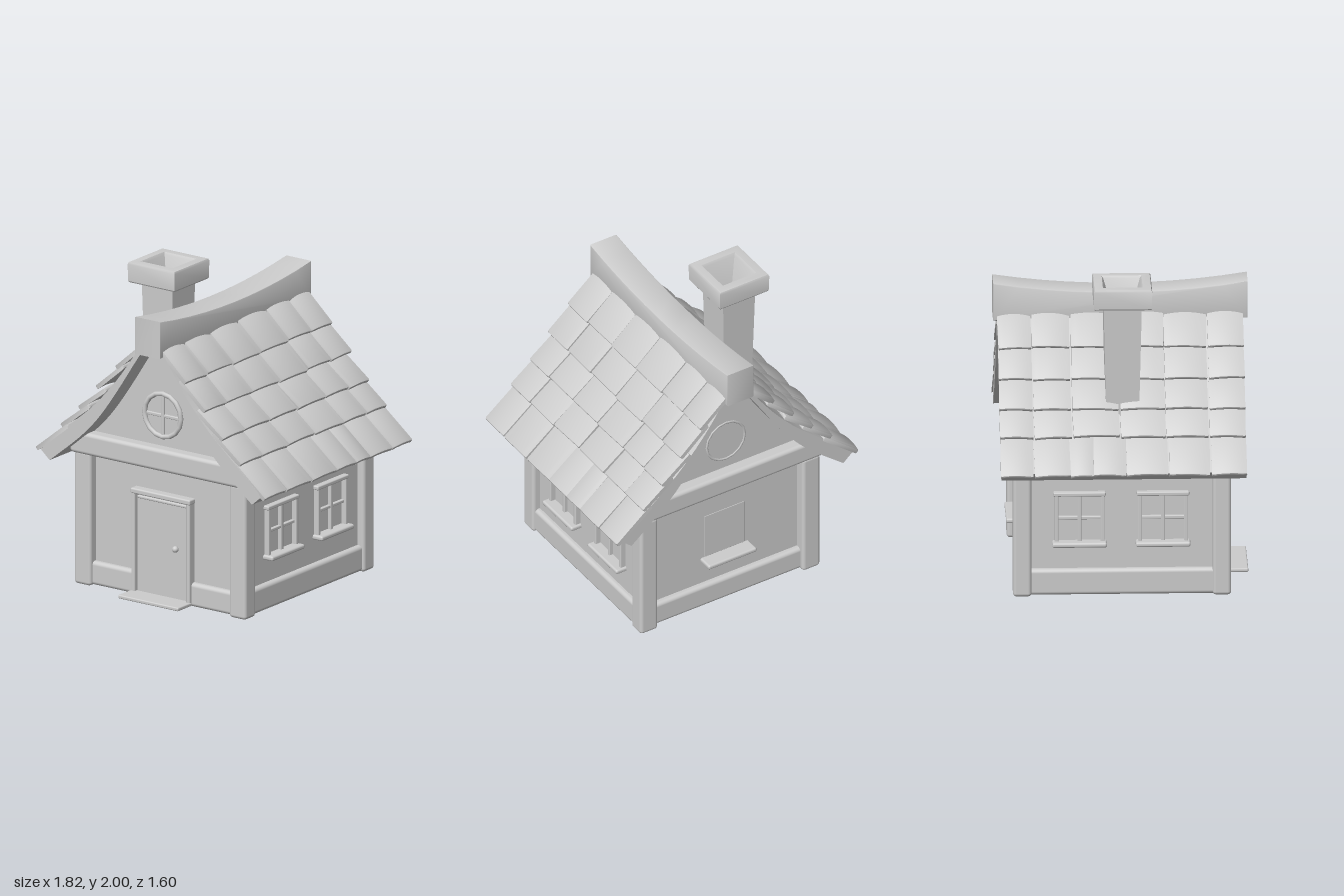
import * as THREE from 'three';
import { toCreasedNormals } from 'three/addons/utils/BufferGeometryUtils.js';
import { RoundedBoxGeometry } from 'three/addons/geometries/RoundedBoxGeometry.js';

export function createModel() {
  const house = new THREE.Group();
  house.name = 'cottage';
  const clay = new THREE.MeshStandardMaterial({ color: 0xcccccc });
  clay.name = 'pale grey clay';

  const add = (name, geometry, parent = house) => {
    const mesh = new THREE.Mesh(geometry, clay);
    mesh.name = name;
    parent.add(mesh);
    return mesh;
  };
  // Rounded block given by its lowest and highest corners
  const block = (name, [x0, y0, z0], [x1, y1, z1], r = 0.01, parent = house) => {
    const mesh = add(name, new RoundedBoxGeometry(x1 - x0, y1 - y0, z1 - z0, 3, r), parent);
    mesh.position.set((x0 + x1) / 2, (y0 + y1) / 2, (z0 + z1) / 2);
    return mesh;
  };
  const extrude = (shape, depth, bevel = 0) => {
    const g = new THREE.ExtrudeGeometry(shape, {
      depth: depth - 2 * bevel, bevelEnabled: bevel > 0, bevelThickness: bevel,
      bevelSize: bevel, bevelOffset: -bevel, bevelSegments: 2, curveSegments: 10,
    });
    return toCreasedNormals(g.translate(0, 0, bevel - depth / 2), 0.7);
  };
  let seed = 7;
  const jitter = (amount) => {
    seed = (seed * 16807) % 2147483647;
    return (seed / 2147483647 - 0.5) * 2 * amount;
  };
  const smooth = (points) => new THREE.SplineCurve(points.map((p) => new THREE.Vector2(...p))).getPoints(16);

  // Swept roof curves, from the ridge to the eaves
  const roofTop = smooth([[0, 1.8], [0.09, 1.68], [0.2, 1.52], [0.31, 1.38], [0.45, 1.23], [0.6, 1.1], [0.865, 0.875]]);
  const roofUnder = smooth([[0, 1.74], [0.1, 1.61], [0.25, 1.38], [0.4, 1.17], [0.55, 1.01], [0.79, 0.81]]);
  const mirrored = (points) => points.slice(1).reverse().map((p) => new THREE.Vector2(-p.x, p.y));

  // Walls with curved gables
  const gable = roofUnder.filter((p) => p.x < 0.6).map((p) => new THREE.Vector2(p.x, p.y + 0.02));
  const wallShape = new THREE.Shape([
    new THREE.Vector2(-0.62, 0.02), new THREE.Vector2(0.62, 0.02), new THREE.Vector2(0.62, 0.96),
    ...gable.slice().reverse(), ...mirrored(gable).reverse(), new THREE.Vector2(-0.62, 0.96),
  ]);
  add('walls', extrude(wallShape, 1.24));

  // Roof slab
  const slabShape = new THREE.Shape([
    ...mirrored(roofUnder), ...roofUnder, ...roofTop.slice().reverse(), ...mirrored(roofTop).reverse(),
  ]);
  add('roofSlab', extrude(slabShape, 1.54));

  // Sagging ridge beam
  const ridge = new THREE.Shape();
  ridge.moveTo(-0.8, 1.645);
  ridge.lineTo(0.8, 1.645);
  ridge.lineTo(0.8, 1.89);
  ridge.quadraticCurveTo(0, 1.762, -0.8, 1.89);
  add('ridgeBeam', extrude(ridge, 0.2, 0.008).rotateY(-Math.PI / 2)).position.x = -0.005;

  // Roof tiles: arched plates, each row lapping over the one below
  const rows = [
    [0.66, 1.08, 0.91, 0.878], [0.5, 1.24, 0.715, 1.075], [0.37, 1.37, 0.575, 1.215],
    [0.24, 1.54, 0.438, 1.37], [0.09, 1.705, 0.288, 1.53],
  ];
  const columns = [[0.765, 0.55], [0.53, 0.275], [0.26, -0.01], [-0.03, -0.31], [-0.33, -0.555], [-0.57, -0.77]];
  const eaveColumns = [[0.765, 0.555], [0.535, 0.29], [0.27, 0.02], [0.01, -0.185], [-0.19, -0.335], [-0.345, -0.56], [-0.575, -0.77]];
  const tileShape = (width) => {
    const h = width / 2, s = new THREE.Shape();
    s.moveTo(-h, -0.04);
    s.quadraticCurveTo(0, -0.02, h, -0.04);
    s.lineTo(h, -0.012);
    s.quadraticCurveTo(0, 0.012, -h, -0.012);
    return s;
  };
  const tiles = new THREE.Group();
  tiles.name = 'roofTiles';
  house.add(tiles);
  for (const side of [1, -1]) {
    rows.forEach(([x0, y0, x1, y1], row) => {
      for (const [za, zb] of row === 0 ? eaveColumns : columns) {
        const along = new THREE.Vector3(side * (x1 - x0), y1 - y0, 0);
        const length = along.length();
        along.normalize();
        const up = new THREE.Vector3(-side * along.y, side * along.x, 0);
        const across = new THREE.Vector3().crossVectors(up, along);
        const tile = add('roofTile', extrude(tileShape(za - zb + 0.01), length + jitter(0.008), 0.01), tiles);
        tile.quaternion.setFromRotationMatrix(new THREE.Matrix4().makeBasis(across, up, along));
        tile.rotateZ(jitter(0.035));
        tile.rotateY(jitter(0.02));
        tile.position.set((side * (x0 + x1)) / 2, (y0 + y1) / 2 + jitter(0.004), (za + zb) / 2);
      }
    });
  }

  // Corner posts, side sills and gable beams
  for (const s of [1, -1]) {
    const c = s * 0.605;
    for (const z of [0.62, -0.635]) block('cornerPost', [c - 0.065, 0, z - 0.058], [c + 0.065, 0.88, z + 0.058], 0.022);
    const x = s * 0.61;
    block('sideSill', [x - 0.045, 0.005, -0.6], [x + 0.045, 0.175, 0.6], 0.025);
    const z = s * 0.63;
    block('gableBeam', [-0.69, 0.865, z - 0.07], [0.69, 1.01, z + 0.07], 0.025);
  }
  block('backSill', [-0.58, 0.005, -0.66], [0.58, 0.165, -0.57], 0.025);
  block('frontSill', [-0.58, 0.005, 0.57], [-0.2, 0.16, 0.655], 0.025);
  block('frontSill', [0.2, 0.005, 0.57], [0.58, 0.16, 0.655], 0.025);

  // Door with frame, knob and step
  block('doorPanel', [-0.195, 0.02, 0.6], [0.2, 0.66, 0.65], 0.006);
  for (const x of [-0.212, 0.217]) block('doorJamb', [x - 0.015, 0.02, 0.6], [x + 0.015, 0.7, 0.675]);
  block('doorLintel', [-0.23, 0.675, 0.6], [0.235, 0.71, 0.678]);
  block('doorStop', [-0.19, 0.645, 0.6], [0.195, 0.665, 0.66], 0.008);
  block('doorStep', [-0.235, 0.01, 0.6], [0.235, 0.034, 0.8], 0.008);
  add('doorKnob', new THREE.SphereGeometry(0.021, 16, 12)).position.set(0.125, 0.37, 0.68);

  // Cross-barred window, facing local +z, centred on its wall point
  const addWindow = (x, z, turn, proud) => {
    const w = new THREE.Group();
    w.name = 'window';
    for (const u of [-0.145, 0.145]) block('windowJamb', [u - 0.013, 0.345, -0.02], [u + 0.013, 0.68, proud], 0.006, w);
    block('windowHead', [-0.165, 0.655, -0.02], [0.165, 0.682, proud + 0.003], 0.008, w);
    block('windowMullion', [-0.012, 0.345, -0.02], [0.012, 0.67, proud * 0.7], 0.005, w);
    block('windowBar', [-0.145, 0.5, -0.02], [0.145, 0.52, proud * 0.6], 0.005, w);
    block('windowSill', [-0.172, 0.328, -0.02], [0.172, 0.36, 0.075], 0.013, w);
    w.position.set(x, 0, z);
    w.rotation.y = turn;
    house.add(w);
  };
  for (const s of [1, -1]) for (const z of [0.25, -0.275]) addWindow(s * 0.62, z, (s * Math.PI) / 2, 0.035);
  // The rear wall has only a window sill and a barely raised frame edge
  block('backWindowSill', [-0.18, 0.328, -0.72], [0.18, 0.36, -0.6], 0.013);
  block('backWindowPanel', [-0.15, 0.36, -0.623], [0.15, 0.68, -0.61], 0.002);

  // Round gable windows
  const ring = (name, tube, z) =>
    add(name, new THREE.TorusGeometry(0.142, tube, 10, 16)).position.set(-0.01, 1.215, z);
  ring('roundWindowFrame', 0.016, 0.63);
  ring('backRoundWindowFrame', 0.01, -0.615);
  block('roundWindowMullion', [-0.022, 1.08, 0.61], [0.002, 1.35, 0.635], 0.006);
  block('roundWindowBar', [-0.145, 1.2, 0.61], [0.125, 1.222, 0.632], 0.006);

  // Square chimney with a flared cap and a tapering flue
  const flue = [
    [0.1, 1.0], [0.12, 1.868], [0.176, 1.866], [0.181, 1.874], [0.184, 1.985], [0.178, 1.998], [0.17, 2.0],
    [0.125, 2.0], [0.115, 1.985], [0.06, 1.8], [0.001, 1.8],
  ].map(([half, y]) => new THREE.Vector2(half * Math.SQRT2, y));
  const chimney = new THREE.LatheGeometry(flue, 4).rotateY(Math.PI / 4);
  add('chimney', toCreasedNormals(chimney, 0.5)).position.x = -0.43;

  return house;
}
